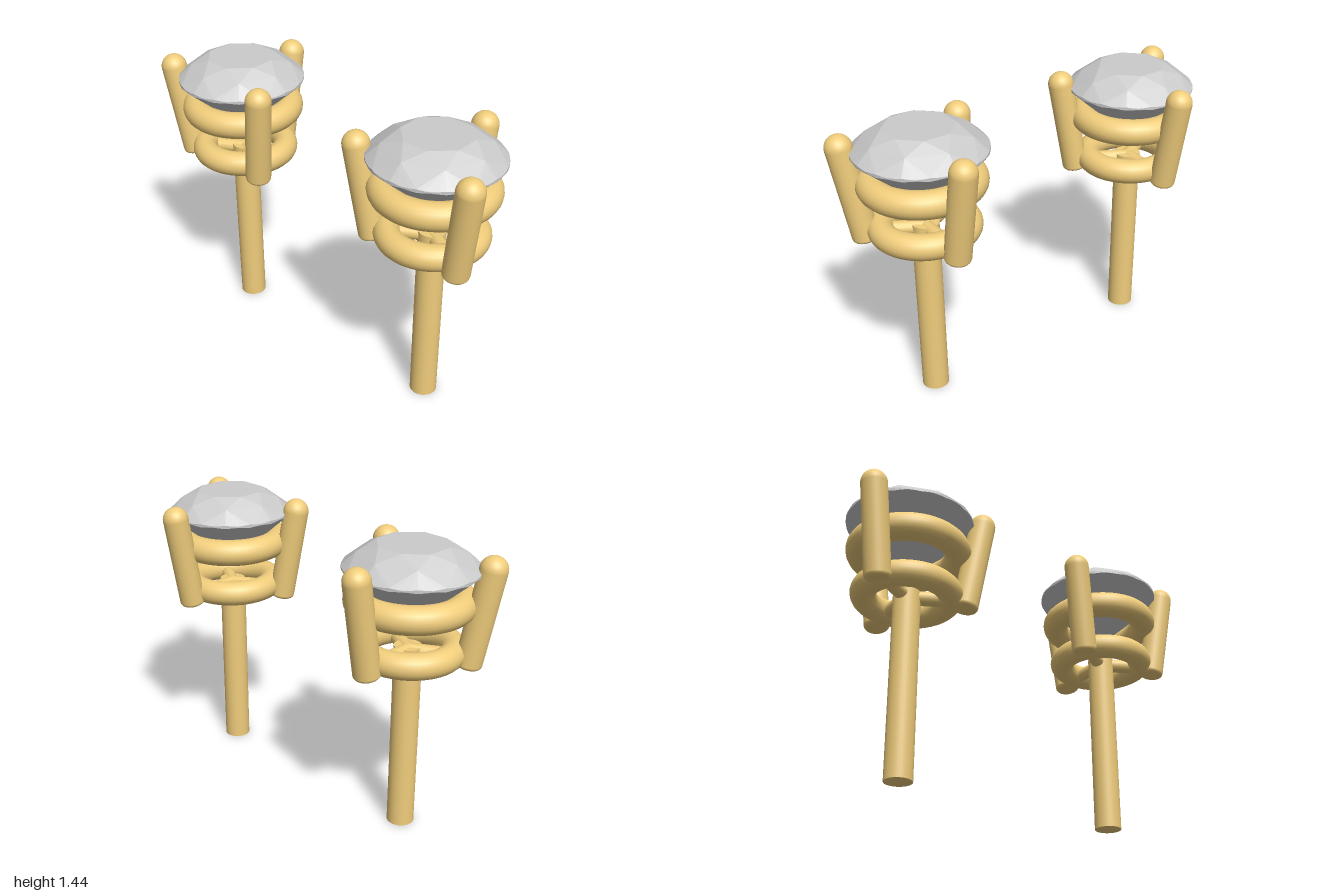
import * as THREE from 'three';
import { ConvexGeometry } from 'three/addons/geometries/ConvexGeometry.js';

const gold = new THREE.MeshStandardMaterial({ color: 0xf0cd7c });
const stone = new THREE.MeshStandardMaterial({ color: 0xcccccc, flatShading: true });
const UP = new THREE.Vector3(0, 1, 0);

function add(parent, name, geometry, material) {
  const mesh = new THREE.Mesh(geometry, material);
  mesh.name = name;
  parent.add(mesh);
  return mesh;
}

// Turn a y-aligned mesh so it starts at a and points at b
function aim(mesh, a, b) {
  mesh.position.copy(a);
  mesh.quaternion.setFromUnitVectors(UP, b.clone().sub(a).normalize());
}

// Brilliant cut: table, crown, scalloped girdle and pavilion as a faceted hull
function gemGeometry() {
  const points = [new THREE.Vector3(0, 1.05, 0)];
  const ring = (n, r, y, offset = 0, wave = 0) => {
    for (let i = 0; i < n; i++) {
      const a = ((i + offset) / n) * Math.PI * 2;
      points.push(new THREE.Vector3(r * Math.sin(a), y + wave * Math.cos(16 * a), r * Math.cos(a)));
    }
  };
  ring(8, 0.17, 1.443, 0.5);
  ring(8, 0.25, 1.402);
  ring(64, 0.317, 1.337, 0, 0.003);
  ring(64, 0.317, 1.326, 0, -0.003);
  ring(8, 0.075, 1.113, 0.5);
  return new ConvexGeometry(points);
}

// Round-topped claw with a softly rounded foot
function prongGeometry(length, r) {
  const profile = [new THREE.Vector2(0, 0)];
  for (let i = 0; i <= 4; i++) {
    const a = (i / 4) * Math.PI / 2;
    profile.push(new THREE.Vector2(r - 0.02 + 0.02 * Math.sin(a), 0.02 - 0.02 * Math.cos(a)));
  }
  for (let i = 0; i <= 10; i++) {
    const a = (i / 10) * Math.PI / 2;
    profile.push(new THREE.Vector2(r * Math.cos(a), length + r * Math.sin(a)));
  }
  return new THREE.LatheGeometry(profile, 28);
}

function stud(name) {
  const g = new THREE.Group();
  g.name = name;

  add(g, 'gem', gemGeometry(), stone);

  // Post standing under the setting
  add(g, 'post', new THREE.CylinderGeometry(0.067, 0.067, 0.95, 32), gold).position.y = 0.475;

  // Two gallery rings
  for (const [ringName, R, r, y] of [['lowerRing', 0.21, 0.063, 0.938], ['upperRing', 0.241, 0.067, 1.172]]) {
    const ring = add(g, ringName, new THREE.TorusGeometry(R, r, 20, 64), gold);
    ring.rotation.x = Math.PI / 2;
    ring.position.y = y;
  }

  // Three leaning prongs, each with a bar joining the post to the lower ring
  for (let i = 0; i < 3; i++) {
    const a = Math.PI + (i * Math.PI * 2) / 3;
    const at = (r, y) => new THREE.Vector3(r * Math.sin(a), y, r * Math.cos(a));
    const foot = at(0.277, 0.878), tip = at(0.36, 1.352);
    aim(add(g, 'prong', prongGeometry(foot.distanceTo(tip), 0.065), gold), foot, tip);

    const bar = new THREE.CylinderGeometry(0.035, 0.035, 0.2, 16).translate(0, 0.1, 0);
    aim(add(g, 'bar', bar, gold), at(0, 0.925), at(0.2, 0.925));
  }
  return g;
}

export function createModel() {
  const model = new THREE.Group();
  model.name = 'studEarrings';
  for (const side of [-1, 1]) {
    const earring = stud(side < 0 ? 'rightEarring' : 'leftEarring');
    earring.position.set(side * 0.624, 0, 0.055);
    model.add(earring);
  }
  return model;
}
